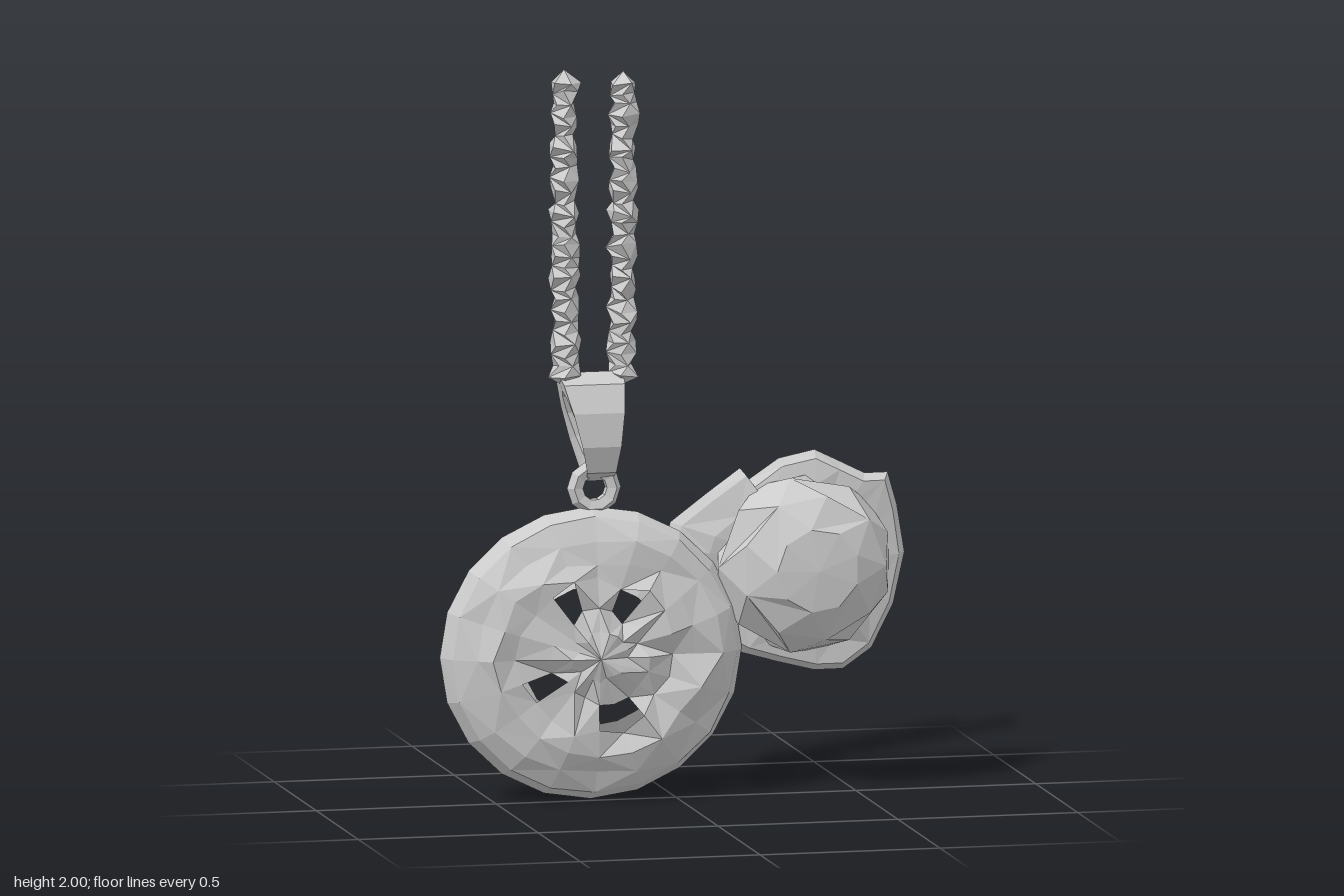
import * as THREE from 'three';

const metal = new THREE.MeshStandardMaterial({ color: 0xcccccc, flatShading: true, side: THREE.DoubleSide });

// Seeded noise in -1..1
let seed = 7;
const jitter = (a) => {
  seed = (seed * 16807) % 2147483647;
  return a * (2 * seed / 2147483647 - 1);
};

// Surface from closed cross-sections: point(row, col) -> [x, y, z]; skip(row, col) leaves an opening
function loft(name, rows, cols, point, skip = () => false, closeRows = false) {
  const pos = [], index = [];
  for (let i = 0; i < rows; i++) for (let j = 0; j < cols; j++) pos.push(...point(i, j));
  for (let i = 0; i < (closeRows ? rows : rows - 1); i++) {
    for (let j = 0; j < cols; j++) {
      if (skip(i, j)) continue;
      const k = (j + 1) % cols, n = (i + 1) % rows;
      const a = i * cols + j, b = i * cols + k, c = n * cols + k, d = n * cols + j;
      if ((i + j) % 2) index.push(a, b, c, a, c, d);
      else index.push(a, b, d, b, c, d);
    }
  }
  const g = new THREE.BufferGeometry();
  g.setAttribute('position', new THREE.Float32BufferAttribute(pos, 3));
  g.setIndex(index);
  g.computeVertexNormals();
  const mesh = new THREE.Mesh(g, metal);
  mesh.name = name;
  return mesh;
}

// Hollow medallion: back bowl, rim, rounded face and pierced rosette
function medallion() {
  // radius, z, roughness
  const profile = [
    [0.2, 0.02, 0], [0.34, -0.08, 0], [0.385, -0.08, 0], [0.42, -0.03, 0], [0.395, 0.02, 0.004],
    [0.34, 0.05, 0.012], [0.28, 0.068, 0.018], [0.215, 0.07, 0.022],
    [0.13, 0.07, 0.022], [0.07, 0.088, 0.012], [0, 0.098, 0],
  ];
  const openings = [3, 6, 11, 15, 16];
  return loft('medallion', profile.length, 20, (i, j) => {
    const [r, z, n] = profile[i];
    const a = (j / 20) * Math.PI * 2;
    const rr = r + jitter(n);
    return [-0.23 + rr * Math.cos(a), 0.402 + rr * 0.955 * Math.sin(a), z + jitter(n)];
  }, (i, j) => i === 7 && openings.includes(j));
}

// Scalloped leaf behind the dome, with a crumpled hollow back
function leaf() {
  const outline = [
    [0.12, 0.42], [0.2, 0.38], [0.3, 0.35], [0.4, 0.325], [0.48, 0.325], [0.56, 0.38], [0.62, 0.5],
    [0.65, 0.64], [0.63, 0.77], [0.605, 0.86], [0.54, 0.86], [0.47, 0.895], [0.4, 0.93], [0.3, 0.91],
    [0.215, 0.85], [0.195, 0.885], [0.1, 0.82], [0, 0.745], [-0.02, 0.68], [0.08, 0.55],
  ];
  const layers = [[0, -0.05], [0.45, -0.06], [0.8, -0.08], [1, -0.07], [0.93, -0.04], [0.7, -0.03], [0, -0.03]];
  return loft('leaf', layers.length, outline.length, (i, j) => {
    const [s, z] = layers[i];
    const [x, y] = outline[j];
    return [0.38 + (x - 0.38) * s, 0.62 + (y - 0.62) * s, z + (s > 0 ? jitter(0.01) : 0)];
  });
}

// Faceted dome set on the leaf
function dome() {
  const profile = [[0.245, -0.06], [0.243, 0], [0.2, 0.065], [0.115, 0.115], [0, 0.125]];
  return loft('dome', profile.length, 9, (i, j) => {
    const [r, z] = profile[i];
    const a = ((j + (i % 2) / 2) / 9) * Math.PI * 2;
    return [0.36 + (i < 2 ? 0 : 0.01) + r * Math.cos(a), 0.625 + r * Math.sin(a), z];
  });
}

// Tapered loop that hangs the pendant from the chain
function bail() {
  return loft('bail', 10, 4, (i, j) => {
    const a = (i / 10) * Math.PI * 2 + Math.PI / 2;
    const outer = j === 1 || j === 2;
    const y = 1.02 + Math.sin(a) * (outer ? 0.15 : 0.1);
    const z = -0.042 + Math.cos(a) * (outer ? 0.083 : 0.045);
    const t = (Math.sin(a) + 1) / 2;
    const half = (0.035 + 0.055 * t) * (outer ? 1 : 0.85);
    return [-0.205 - 0.025 * t + (j < 2 ? -half : half), y, z];
  }, undefined, true);
}

// Knobbly chain strand with capped ends
function strand(name, x0, x1, top) {
  const rows = 30;
  return loft(name, rows, 5, (i, j) => {
    const t = i / (rows - 1);
    const end = i === 0 || i === rows - 1;
    const r = end ? 0 : 0.039 + 0.006 * Math.sin(i * 2.1) + jitter(0.008);
    const a = ((j + (i % 2) / 2) / 5) * Math.PI * 2;
    const y = 1.13 + (top - 1.13) * t + (end ? 0 : jitter(0.008));
    return [x0 + (x1 - x0) * t + r * Math.cos(a) * 0.95, y, -0.05 + r * Math.sin(a) * 1.12];
  });
}

export function createModel() {
  const model = new THREE.Group();
  model.name = 'pendant';

  // Small ring joining bail and medallion
  const ring = new THREE.Mesh(new THREE.TorusGeometry(0.052, 0.023, 5, 10), metal);
  ring.name = 'jumpRing';
  ring.position.set(-0.22, 0.853, -0.035);

  model.add(
    medallion(), leaf(), dome(), bail(), ring,
    strand('rightChain', -0.295, -0.3, 2),
    strand('leftChain', -0.14, -0.135, 1.99),
  );
  return model;
}
